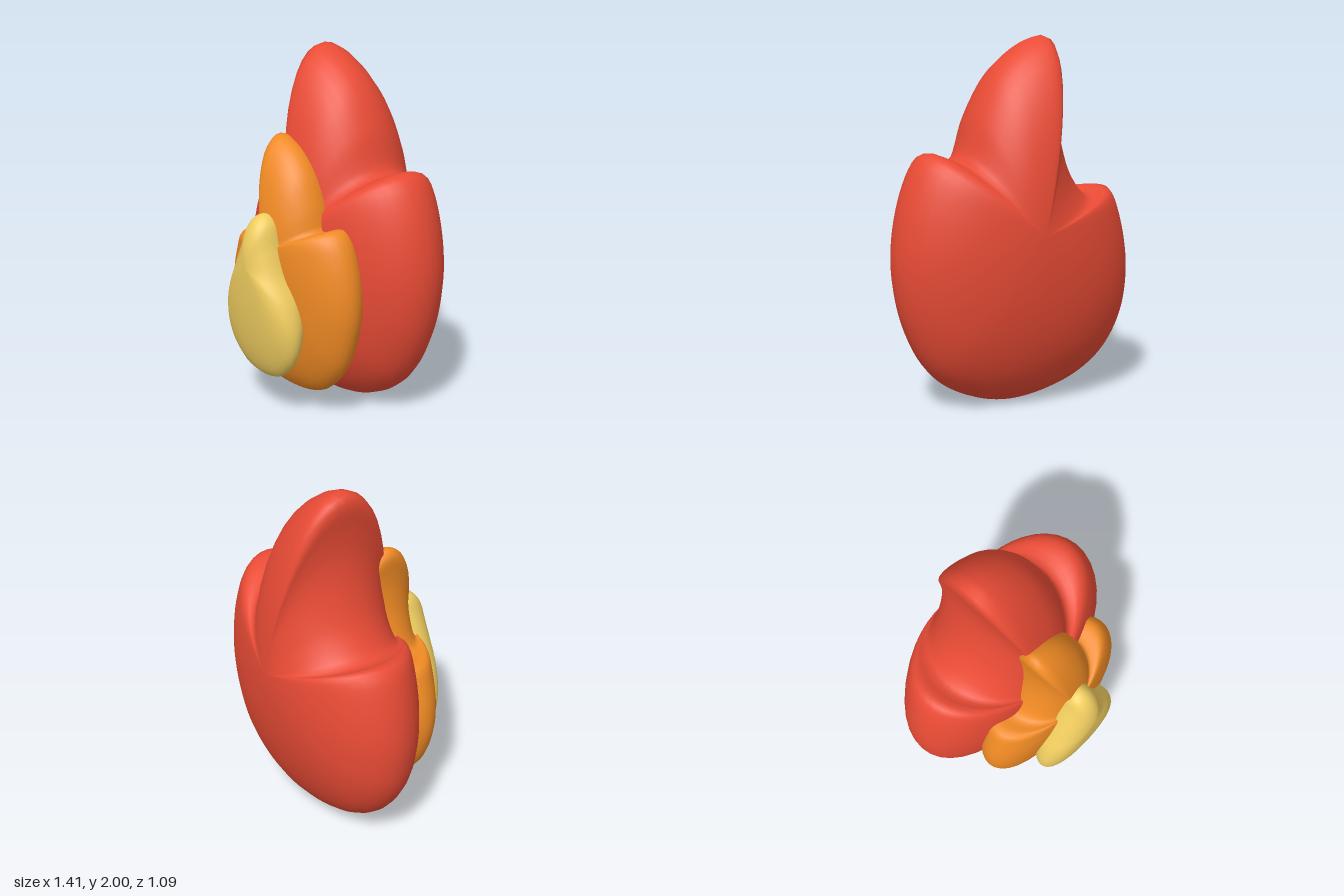
import * as THREE from 'three';

const RIM = 140; // points around each outline
const RINGS = 24; // steps from back pole to front pole

// Puffed lens: a closed outline shrinks towards a pole along a half ellipse in depth.
function puff(outline, poleY, centreZ, halfDepth) {
  const curve = new THREE.CatmullRomCurve3(
    outline.map(([x, y]) => new THREE.Vector3(x, y, 0)), true, 'centripetal');
  const rim = curve.getSpacedPoints(RIM).slice(0, RIM);
  const positions = [0, poleY, centreZ - halfDepth];
  for (let i = 1; i < RINGS; i++) {
    const angle = -Math.PI / 2 + (Math.PI * i) / RINGS;
    const scale = Math.cos(angle);
    const z = centreZ + halfDepth * Math.sin(angle);
    for (const p of rim) positions.push(p.x * scale, poleY + (p.y - poleY) * scale, z);
  }
  positions.push(0, poleY, centreZ + halfDepth);

  const last = positions.length / 3 - 1;
  const at = (ring, j) => 1 + ring * RIM + (j % RIM);
  const index = [];
  for (let j = 0; j < RIM; j++) {
    index.push(0, at(0, j + 1), at(0, j));
    for (let r = 0; r < RINGS - 2; r++) {
      const a = at(r, j), b = at(r, j + 1), c = at(r + 1, j + 1), d = at(r + 1, j);
      index.push(a, b, c, a, c, d);
    }
    index.push(at(RINGS - 2, j), at(RINGS - 2, j + 1), last);
  }
  const geometry = new THREE.BufferGeometry();
  geometry.setAttribute('position', new THREE.Float32BufferAttribute(positions, 3));
  geometry.setIndex(index);
  geometry.computeVertexNormals();
  return geometry;
}

// Outlines run anticlockwise from the bottom: right lobe, tall tongue, left lobe.
const outer = [
  [0.04, 0], [0.3, 0.06], [0.5, 0.2], [0.64, 0.46], [0.7, 0.78], [0.67, 1.08],
  [0.59, 1.31], [0.53, 1.385], [0.46, 1.39], [0.39, 1.36], [0.34, 1.355], [0.31, 1.41],
  [0.25, 1.6], [0.13, 1.81], [-0.02, 1.94], [-0.14, 1.995], [-0.2, 1.998], [-0.225, 1.95],
  [-0.21, 1.8], [-0.205, 1.65], [-0.24, 1.45], [-0.32, 1.25], [-0.44, 1.125], [-0.53, 1.16],
  [-0.57, 1.165], [-0.61, 1.12], [-0.68, 0.9], [-0.705, 0.65], [-0.66, 0.4], [-0.53, 0.2],
  [-0.3, 0.06],
];
const middle = [
  [0.03, 0.11], [0.25, 0.16], [0.41, 0.32], [0.49, 0.55], [0.505, 0.72], [0.48, 0.9],
  [0.42, 1.06], [0.37, 1.11], [0.33, 1.11], [0.24, 1.075], [0.225, 1.12], [0.205, 1.2],
  [0.13, 1.37], [0.03, 1.48], [-0.08, 1.54], [-0.13, 1.55], [-0.155, 1.52], [-0.15, 1.4],
  [-0.15, 1.3], [-0.18, 1.13], [-0.27, 0.95], [-0.38, 0.95], [-0.42, 0.935], [-0.46, 0.84],
  [-0.5, 0.68], [-0.5, 0.52], [-0.43, 0.32], [-0.3, 0.18], [-0.12, 0.12],
];
const inner = [
  [0, 0.235], [0.14, 0.265], [0.25, 0.38], [0.285, 0.53], [0.25, 0.69], [0.16, 0.85],
  [0.11, 0.99], [0.07, 1.12], [0.03, 1.16], [0, 1.165], [-0.05, 1.145], [-0.1, 1.04],
  [-0.2, 0.83], [-0.27, 0.67], [-0.295, 0.52], [-0.26, 0.38], [-0.14, 0.265],
];

export function createModel() {
  const model = new THREE.Group();
  model.name = 'flame';

  // Three flames, each standing in front of the larger one
  const layers = [
    ['outerFlame', outer, 0.97, -0.16, 0.385, 0xe94b35],
    ['middleFlame', middle, 0.95, 0.19, 0.22, 0xf08a24],
    ['innerFlame', inner, 0.9, 0.405, 0.14, 0xf0cd60],
  ];
  for (const [name, outline, poleY, z, depth, color] of layers) {
    const mesh = new THREE.Mesh(
      puff(outline, poleY, z, depth), new THREE.MeshStandardMaterial({ color }));
    mesh.name = name;
    model.add(mesh);
  }
  return model;
}
